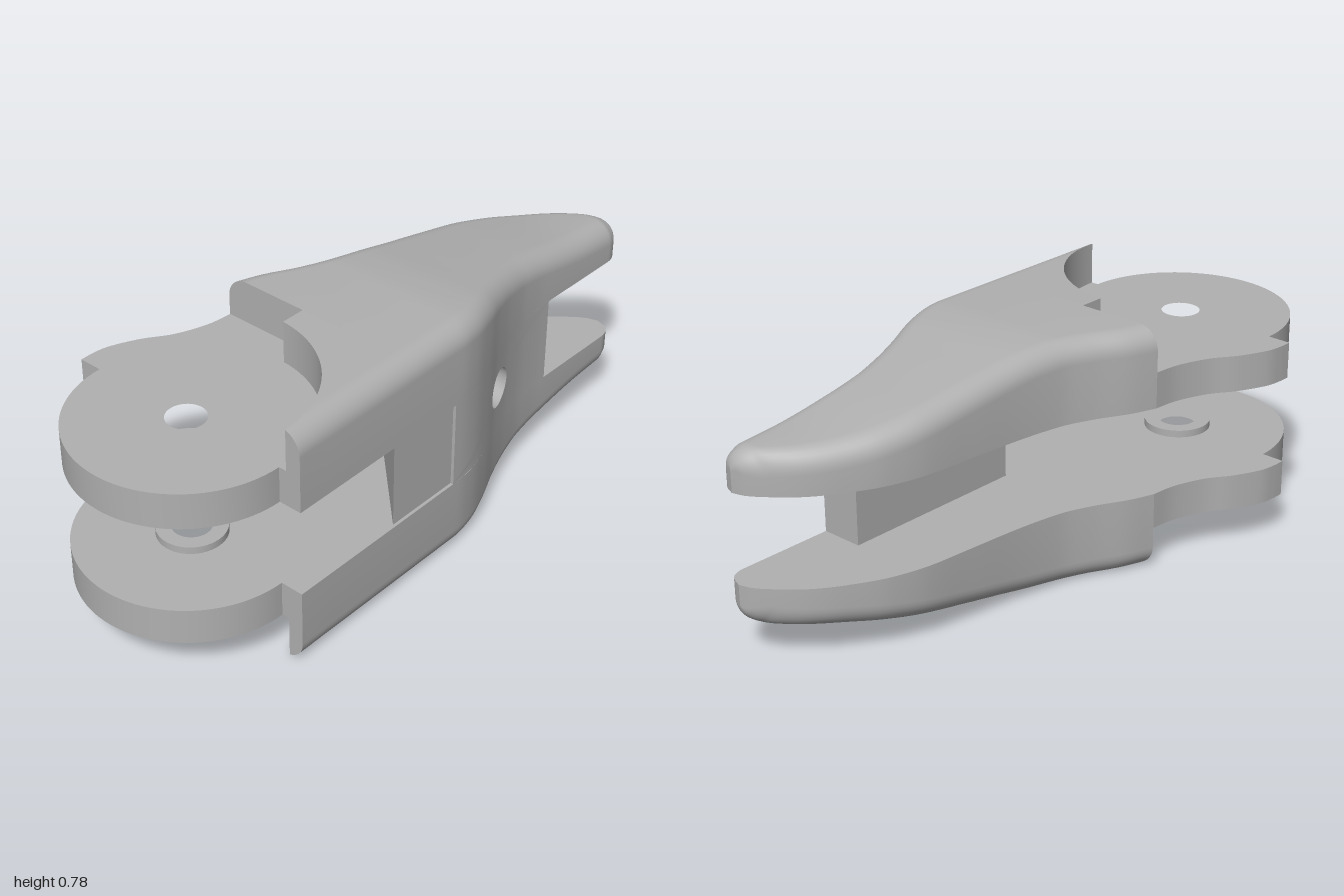
import * as THREE from 'three';
import { toCreasedNormals } from 'three/addons/utils/BufferGeometryUtils.js';

const MID = 0.393;    // height of the symmetry plane
const INNER = 0.141;  // inner faces of the two cheeks, measured from MID
const PLATE = 0.256;  // outer faces of the pivot plates
const PIVOT = -0.655; // pivot axis x
const CUT = 0.37;     // radius of the relief around the pivot plate
const STEP_X = -0.205, STEP_Z = 0.02;

// Smooth monotone curve through [x, value] points
function curve(p) {
  const d = p.slice(1).map((q, i) => (q[1] - p[i][1]) / (q[0] - p[i][0]));
  const m = p.map((_, i) => {
    if (i === 0) return d[0];
    if (i === p.length - 1) return d[i - 1];
    return d[i - 1] * d[i] <= 0 ? 0 : 2 * d[i - 1] * d[i] / (d[i - 1] + d[i]);
  });
  return (x) => {
    let i = 0;
    while (i < p.length - 2 && x > p[i + 1][0]) i++;
    const h = p[i + 1][0] - p[i][0], t = THREE.MathUtils.clamp((x - p[i][0]) / h, 0, 1);
    const u = 1 - t;
    return p[i][1] * (1 + 2 * t) * u * u + m[i] * h * t * u * u
      + p[i + 1][1] * t * t * (3 - 2 * t) - m[i + 1] * h * t * t * u;
  };
}

const frontZ = curve([[-0.66, 0.42], [0.03, 0.42], [0.1, 0.412], [0.2, 0.382], [0.3, 0.342], [0.4, 0.311],
  [0.5, 0.292], [0.6, 0.286], [0.935, 0.287], [0.965, 0.279], [0.985, 0.262], [1, 0.225]]);
const backZ = curve([[STEP_X, -0.27], [-0.13, -0.242], [-0.02, -0.185], [0.08, -0.147], [0.24, -0.12],
  [0.4, -0.105], [0.56, -0.09], [0.68, -0.06], [0.8, 0], [0.885, 0.06], [0.965, 0.15], [0.99, 0.19], [1, 0.225]]);
const slope = curve([[-0.66, 0.392], [0.04, 0.392], [0.15, 0.385], [0.3, 0.363], [0.54, 0.323],
  [0.8, 0.281], [0.93, 0.27]]);
const outerY = (x) => slope(x) - (x > 0.93 ? 0.07 * (1 - Math.sqrt(Math.max(0, 1 - ((x - 0.93) / 0.07) ** 2))) : 0);

// Normals are creased at a larger scale so that small features stay distinct
function crease(geo) {
  return toCreasedNormals(geo.scale(50, 50, 50), 0.6).scale(0.02, 0.02, 0.02);
}

// Surface through rows of points, with an optional cap on the first row
function surface(rows, cap = false) {
  const pos = [];
  const tri = (a, b, c) => {
    const area = b.clone().sub(a).cross(c.clone().sub(a)).length();
    if (area > 1e-9) for (const v of [a, b, c]) pos.push(v.x, v.y, v.z);
  };
  for (let i = 0; i < rows.length - 1; i++) {
    for (let j = 0; j < rows[i].length - 1; j++) {
      const a = rows[i][j], b = rows[i][j + 1], c = rows[i + 1][j], d = rows[i + 1][j + 1];
      tri(a, b, c);
      tri(b, d, c);
    }
  }
  if (cap) for (let j = 1; j < rows[0].length - 2; j++) tri(rows[0][0], rows[0][j + 1], rows[0][j]);
  const geo = new THREE.BufferGeometry();
  geo.setAttribute('position', new THREE.Float32BufferAttribute(pos, 3));
  return crease(geo);
}

// Extrude an [x, z] outline upwards from y0 to y1
function slab(outline, y0, y1, holeRadius = 0) {
  const shape = new THREE.Shape(outline.map(([x, z]) => new THREE.Vector2(x, -z)));
  if (holeRadius) shape.holes.push(new THREE.Path().absarc(PIVOT, 0, holeRadius, 0, Math.PI * 2, true));
  const geo = new THREE.ExtrudeGeometry(shape, { depth: y1 - y0, bevelEnabled: false, curveSegments: 48 });
  return crease(geo.rotateX(-Math.PI / 2).translate(0, y0, 0));
}

function arc(radius, from, to, n) {
  return Array.from({ length: n + 1 }, (_, i) => {
    const a = from + (to - from) * i / n;
    return [PIVOT + radius * Math.cos(a), radius * Math.sin(a)];
  });
}

function mirrorY(geo) {
  const g = geo.clone().scale(1, -1, 1);
  for (const name of ['position', 'normal']) {
    const a = g.attributes[name];
    for (let i = 0; i < a.count; i += 3) {
      const p = [a.getX(i + 1), a.getY(i + 1), a.getZ(i + 1)];
      a.setXYZ(i + 1, a.getX(i + 2), a.getY(i + 2), a.getZ(i + 2));
      a.setXYZ(i + 2, ...p);
    }
  }
  // normals: restore the exact mirrored direction
  const n = g.attributes.normal, src = geo.attributes.normal;
  for (let i = 0; i < n.count; i++) {
    const k = i % 3 === 0 ? i : i % 3 === 1 ? i + 1 : i - 1;
    n.setXYZ(i, src.getX(k), -src.getY(k), src.getZ(k));
  }
  return g;
}

// Cross-section of a cheek: flat inside, rounded outside edges
function section(x, zb, roundBack) {
  const zf = frontZ(x), w = Math.max(0, zf - zb), top = outerY(x), N = 8;
  const r = Math.min(0.07, top - INNER, roundBack ? w / 2 : 1);
  const end = w < r && !roundBack ? Math.acos(1 - w / r) : Math.PI / 2;
  const lip = top - r + r * Math.sin(end);
  const pts = [new THREE.Vector3(x, INNER, zb)];
  for (let k = 0; k <= N; k++) {
    const t = k / N * Math.PI / 2;
    pts.push(roundBack
      ? new THREE.Vector3(x, top - r + r * Math.sin(t), zb + r * (1 - Math.cos(t)))
      : new THREE.Vector3(x, lip, zb));
  }
  for (let k = N; k >= 0; k--) {
    const t = k / N * end;
    pts.push(new THREE.Vector3(x, top - r + r * Math.sin(t), zf - r * (1 - Math.cos(t))));
  }
  pts.push(new THREE.Vector3(x, INNER, zf), pts[0].clone());
  return pts;
}

const cutArc = arc(CUT, Math.asin(STEP_Z / CUT), Math.PI / 2, 32);

function cheekGeometry() {
  const rows = [...cutArc].reverse().map(([x, z]) => section(x, z, false));
  rows.push(section(STEP_X, STEP_Z, false));
  const n = 90;
  for (let i = 0; i <= n; i++) {
    // stations crowd together towards the tip
    const x = STEP_X + (1 - STEP_X) * Math.sin(i / n * Math.PI / 2);
    rows.push(section(x, backZ(x), true));
  }
  return surface(rows, true);
}

function plateGeometry() {
  const ear = new THREE.SplineCurve([[-0.62, -0.42], [-0.56, -0.411], [-0.47, -0.37], [-0.39, -0.317],
    [-0.29, -0.28], [STEP_X, -0.27]].map((p) => new THREE.Vector2(...p))).getPoints(30).map((v) => [v.x, v.y]);
  const disc = arc(0.345, Math.PI / 2, Math.PI * 1.5, 48);
  return slab([...disc, [PIVOT, -0.42], ...ear, [STEP_X, STEP_Z], ...cutArc], INNER, PLATE, 0.06);
}

// Front of the bridge: curved panel with a blind round hole
function bridgeFrontGeometry() {
  const cx = 0.315, R = 0.063, x0 = 0, x1 = 0.62, floor = 0.2;
  const angles = Array.from({ length: 64 }, (_, i) => i / 64 * Math.PI * 2);
  for (const ex of [x0, x1]) for (const ey of [-INNER, INNER]) {
    angles.push((Math.atan2(ey, ex - cx) + Math.PI * 2) % (Math.PI * 2));
  }
  angles.sort((a, b) => a - b);
  angles.push(Math.PI * 2);
  return surface(angles.map((a) => {
    const c = Math.cos(a), s = Math.sin(a);
    const reach = Math.min((c > 0 ? x1 - cx : cx - x0) / Math.max(Math.abs(c), 1e-6),
      INNER / Math.max(Math.abs(s), 1e-6));
    const row = [new THREE.Vector3(cx, 0, floor), new THREE.Vector3(cx + R * c, R * s, floor)];
    for (let k = 0; k <= 10; k++) {
      const d = R + (reach - R) * k / 10;
      row.push(new THREE.Vector3(cx + d * c, d * s, frontZ(cx + d * c)));
    }
    return row;
  }));
}

export function createModel() {
  const model = new THREE.Group();
  model.name = 'leverBracket';
  const grey = new THREE.MeshStandardMaterial({ color: 0xb0b0b0 });
  grey.name = 'grey';
  const add = (geo, name) => {
    const mesh = new THREE.Mesh(geo, grey);
    mesh.name = name;
    mesh.position.y = MID;
    model.add(mesh);
  };

  // Upper and lower halves
  const halves = {
    Cheek: cheekGeometry(),
    PivotPlate: plateGeometry(),
    PivotBoss: slab(arc(0.105, 0, Math.PI * 2, 48).slice(0, -1), INNER - 0.023, INNER, 0.06),
  };
  for (const [name, geo] of Object.entries(halves)) {
    add(geo, 'upper' + name);
    add(mirrorY(geo), 'lower' + name);
  }

  // Bridge joining the cheeks, with a slanted end
  add(bridgeFrontGeometry(), 'bridgeFront');
  add(slab([[-0.26, 0.41], [0, 0.15], [0.62, 0.15], [0.62, frontZ(0.62)], [0.61, 0.19], [0.01, 0.19],
    [0, 0.42], [0, 0.41]], -INNER, INNER), 'bridge');
  return model;
}
